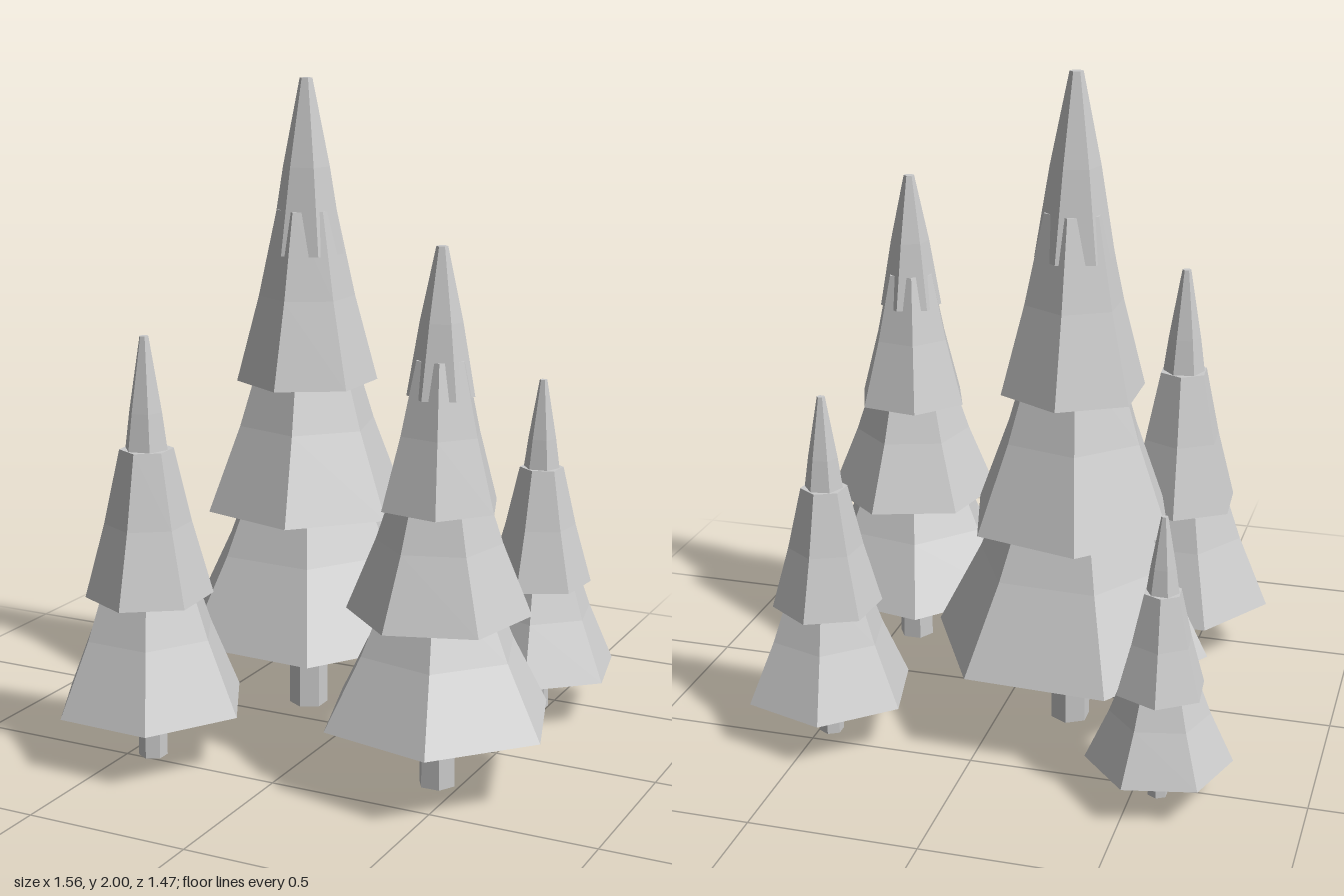
import * as THREE from 'three';

const SIDES = 6;
const grey = new THREE.MeshStandardMaterial({ color: 0xcccccc, flatShading: true });
grey.name = 'plainGrey';

// Closed six-sided solid; angle is the direction of one corner, in degrees from +x towards +z
function hexSolid(name, profile, angle) {
  const points = profile.map(([r, y]) => new THREE.Vector2(r, y));
  const mesh = new THREE.Mesh(new THREE.LatheGeometry(points, SIDES), grey);
  mesh.name = name;
  mesh.rotation.y = THREE.MathUtils.degToRad(90 - angle);
  return mesh;
}

// One tree: a trunk and a stack of overlapping skirts, one per entry in angles
function makeTree({ name, x, z, height, radius, trunk, trunkAngle, angles }) {
  const tree = new THREE.Group();
  tree.name = name;
  tree.position.set(x, 0, z);

  const base = height * 0.1325;
  const last = angles.length - 1;
  const step = (height - base) / (last + 1.335);
  const tierHeight = step * 1.335;

  tree.add(hexSolid('trunk', [[0, 0], [trunk, 0], [trunk, base + 0.02], [0, base + 0.02]], trunkAngle));

  angles.forEach((angle, i) => {
    const r = radius * (1 - (0.727 * i) / last);
    const isTip = i === last;
    const middle = r * (isTip ? 0.63 : 0.68);
    const top = r * (isTip ? 0.17 : 0.42);
    const tier = hexSolid(isTip ? 'tipFoliage' : 'foliageTier' + (i + 1), [
      [0, 0], [r, 0], [middle, tierHeight / 2], [top, tierHeight], [0, tierHeight],
    ], angle);
    tier.position.y = base + i * step;
    tree.add(tier);
  });
  return tree;
}

export function createModel() {
  const model = new THREE.Group();
  model.name = 'pineGrove';
  const trees = [
    { name: 'tallTree', x: -0.214, z: -0.14, height: 2, radius: 0.427, trunk: 0.061, trunkAngle: 30, angles: [3, 15, 30, 45] },
    { name: 'leftFrontTree', x: 0.43, z: 0.288, height: 1.575, radius: 0.353, trunk: 0.056, trunkAngle: 0, angles: [12, 42, 10, 40] },
    { name: 'rightFrontTree', x: -0.428, z: 0.467, height: 1.285, radius: 0.298, trunk: 0.043, trunkAngle: 30, angles: [2, 26, 50] },
    { name: 'leftBackTree', x: 0.465, z: -0.428, height: 1.075, radius: 0.257, trunk: 0.037, trunkAngle: 30, angles: [18, 35, 52] },
    { name: 'rightBackTree', x: -0.573, z: -0.535, height: 0.86, radius: 0.212, trunk: 0.03, trunkAngle: 30, angles: [48, 25, 2] },
  ];
  trees.forEach((t) => model.add(makeTree(t)));
  return model;
}
